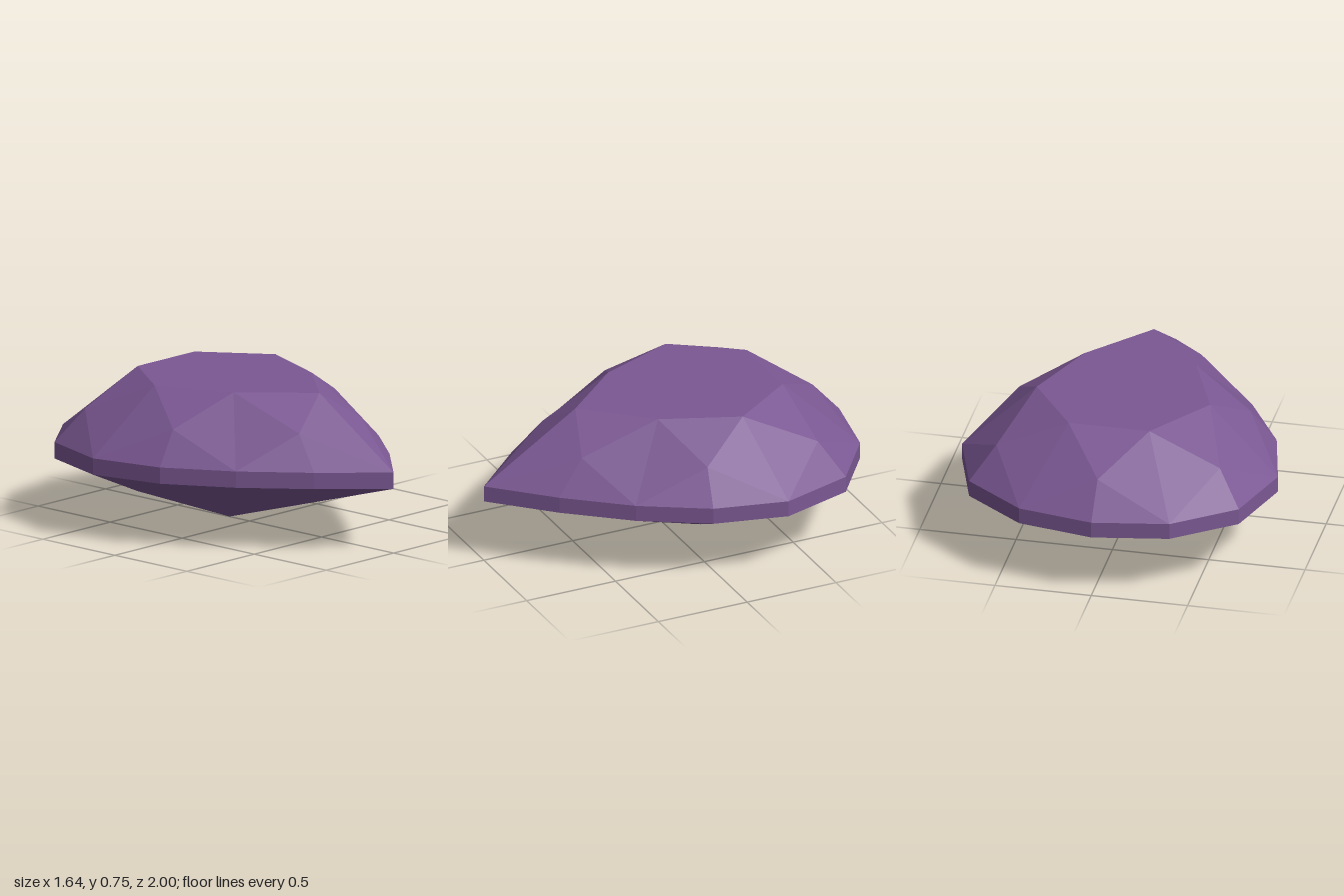
import * as THREE from 'three';

// Full ring of [x, z] pairs from its +x half, counter-clockwise seen from above
function ring(half, y) {
  const mirrored = half.filter(([x]) => x > 0).reverse().map(([x, z]) => [-x, z]);
  return [...half, ...mirrored].map(([x, z]) => new THREE.Vector3(x, y, z));
}

// Flat facets from a list of corner triples
function facets(name, triangles, material) {
  const geometry = new THREE.BufferGeometry().setFromPoints(triangles.flat());
  geometry.computeVertexNormals();
  const mesh = new THREE.Mesh(geometry, material);
  mesh.name = name;
  return mesh;
}

export function createModel() {
  const purple = new THREE.MeshStandardMaterial({ color: 0x7b5893, flatShading: true });
  purple.name = 'amethyst purple';

  // Pear-shaped outline: even points meet the main facets, odd points the halves
  const outline = [[0, 1], [0.28, 0.71], [0.53, 0.4], [0.73, 0.06],
    [0.82, -0.32], [0.7, -0.7], [0.39, -0.93], [0, -1]];
  const upper = ring(outline, 0.42);
  const lower = ring(outline, 0.335);
  const top = ring([[0, 0.485], [0.29, 0.16], [0.45, -0.24], [0.21, -0.58]], 0.75);
  const crownMid = ring([[0.23, 0.56], [0.6, 0.03], [0.58, -0.6], [0, -0.85]], 0.59);
  const culet = new THREE.Vector3(0, 0, -0.14);
  const pavilionMid = ring([[0.146, 0.305], [0.38, -0.035], [0.37, -0.43], [0, -0.59]], 0.15);

  const table = [], crown = [], girdle = [], pavilion = [];

  // Flat table on top
  for (let k = 1; k < 6; k++) table.push([top[0], top[k], top[k + 1]]);

  // Seven-fold facets of crown and pavilion
  for (let k = 0; k < 7; k++) {
    const a = 2 * k, b = a + 1, c = (a + 2) % 14;
    const t = top[k], tNext = top[(k + 1) % 7];
    const m = crownMid[k], p = pavilionMid[k];
    crown.push(
      [t, m, tNext],
      [t, upper[a], m], [tNext, m, upper[c]],
      [m, upper[a], upper[b]], [m, upper[b], upper[c]],
    );
    pavilion.push(
      [culet, p, lower[a]], [culet, lower[c], p],
      [lower[a], p, lower[b]], [lower[b], p, lower[c]],
    );
  }

  // Thin upright band
  for (let i = 0; i < 14; i++) {
    const j = (i + 1) % 14;
    girdle.push([lower[i], lower[j], upper[j]], [lower[i], upper[j], upper[i]]);
  }

  const gem = new THREE.Group();
  gem.name = 'pearCutGem';
  gem.add(
    facets('table', table, purple),
    facets('crown', crown, purple),
    facets('girdle', girdle, purple),
    facets('pavilion', pavilion, purple),
  );
  return gem;
}
